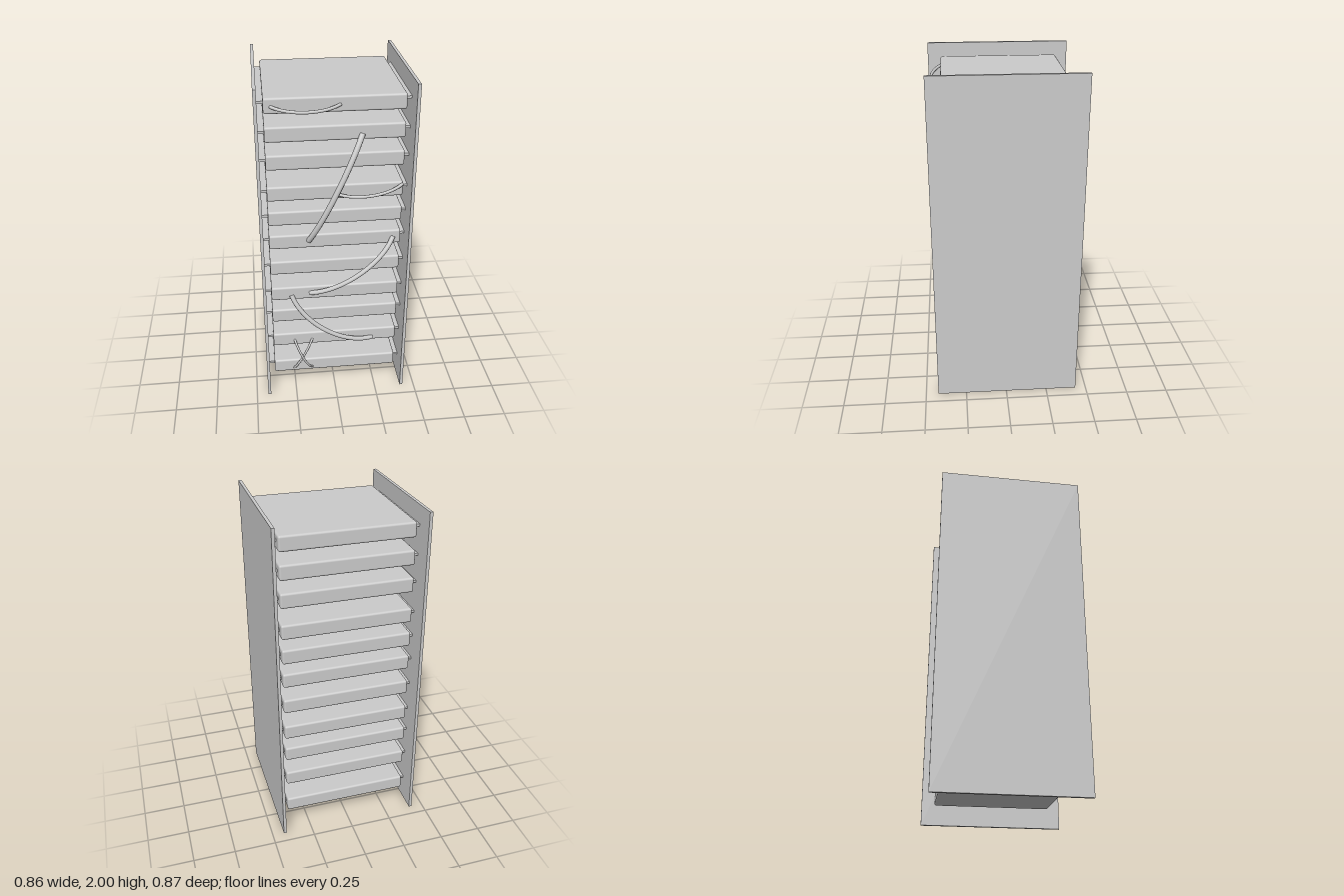
import * as THREE from 'three';
import { RoundedBoxGeometry } from 'three/addons/geometries/RoundedBoxGeometry.js';

const material = new THREE.MeshStandardMaterial({ color: 0xcccccc });

function add(parent, name, geometry, x = 0, y = 0, z = 0) {
  const mesh = new THREE.Mesh(geometry, material);
  mesh.name = name;
  mesh.position.set(x, y, z);
  parent.add(mesh);
  return mesh;
}

// Cable bulging out of the front: ends a and b and middle m as [x, y],
// depth = z of the centre line at its middle
function addCable(parent, name, a, m, b, depth, radius) {
  const z0 = 0.343, k = 0.5;
  const A = new THREE.Vector2(...a), B = new THREE.Vector2(...b);
  const sum = A.clone().add(B);
  const Q = new THREE.Vector2(...m).addScaledVector(sum, -0.125).divideScalar(0.375)
    .addScaledVector(sum, k - 1).divideScalar(2 * k);
  const c1 = A.clone().lerp(Q, k), c2 = B.clone().lerp(Q, k);
  const zc = (depth - 0.25 * z0) / 0.75;
  const curve = new THREE.CubicBezierCurve3(
    new THREE.Vector3(A.x, A.y, z0), new THREE.Vector3(c1.x, c1.y, zc),
    new THREE.Vector3(c2.x, c2.y, zc), new THREE.Vector3(B.x, B.y, z0));
  add(parent, name, new THREE.TubeGeometry(curve, 32, radius, 10));
}

export function createModel() {
  const model = new THREE.Group();
  model.name = 'equipmentRack';

  // Side panels
  for (const s of [-1, 1]) {
    add(model, s > 0 ? 'leftPanel' : 'rightPanel',
      new THREE.BoxGeometry(0.018, 2, 0.86), s * 0.421, 1, -0.006);
  }

  // Stacked units, each on a pair of thin rails
  const heights = [0.156, 0.364, 0.547, 0.706, 0.889, 1.063, 1.217, 1.372, 1.56, 1.722, 1.882];
  const unitGeometry = new RoundedBoxGeometry(0.76, 0.088, 0.706, 3, 0.012);
  const railGeometry = new THREE.BoxGeometry(0.05, 0.014, 0.617);
  heights.forEach((y, i) => {
    const shelf = new THREE.Group();
    shelf.name = `shelf${i + 1}`;
    shelf.position.y = y;
    add(shelf, 'unit', unitGeometry, 0, 0, -0.007);
    for (const s of [-1, 1]) {
      add(shelf, s > 0 ? 'leftRail' : 'rightRail', railGeometry, s * 0.392, i === 10 ? 0.008 : 0, -0.007);
    }
    model.add(shelf);
  });

  // Patch cables across the front
  const cables = new THREE.Group();
  cables.name = 'cables';
  model.add(cables);
  addCable(cables, 'topCable', [-0.343, 1.88], [-0.16, 1.862], [0.025, 1.88], 0.4, 0.009);
  addCable(cables, 'upperCable', [0.145, 1.71], [-0.004, 1.388], [-0.153, 1.066], 0.416, 0.016);
  addCable(cables, 'shortCable', [0.01, 1.357], [0.195, 1.363], [0.376, 1.4], 0.4, 0.009);
  addCable(cables, 'middleCable', [0.337, 1.066], [0.135, 0.845], [-0.153, 0.703], 0.396, 0.014);
  addCable(cables, 'lowerCable', [-0.262, 0.696], [-0.06, 0.452], [0.235, 0.341], 0.39, 0.014);
  addCable(cables, 'crossedCableA', [-0.25, 0.358], [-0.198, 0.245], [-0.143, 0.136], 0.4, 0.007);
  addCable(cables, 'crossedCableB', [-0.14, 0.358], [-0.2, 0.245], [-0.257, 0.136], 0.374, 0.007);

  return model;
}
